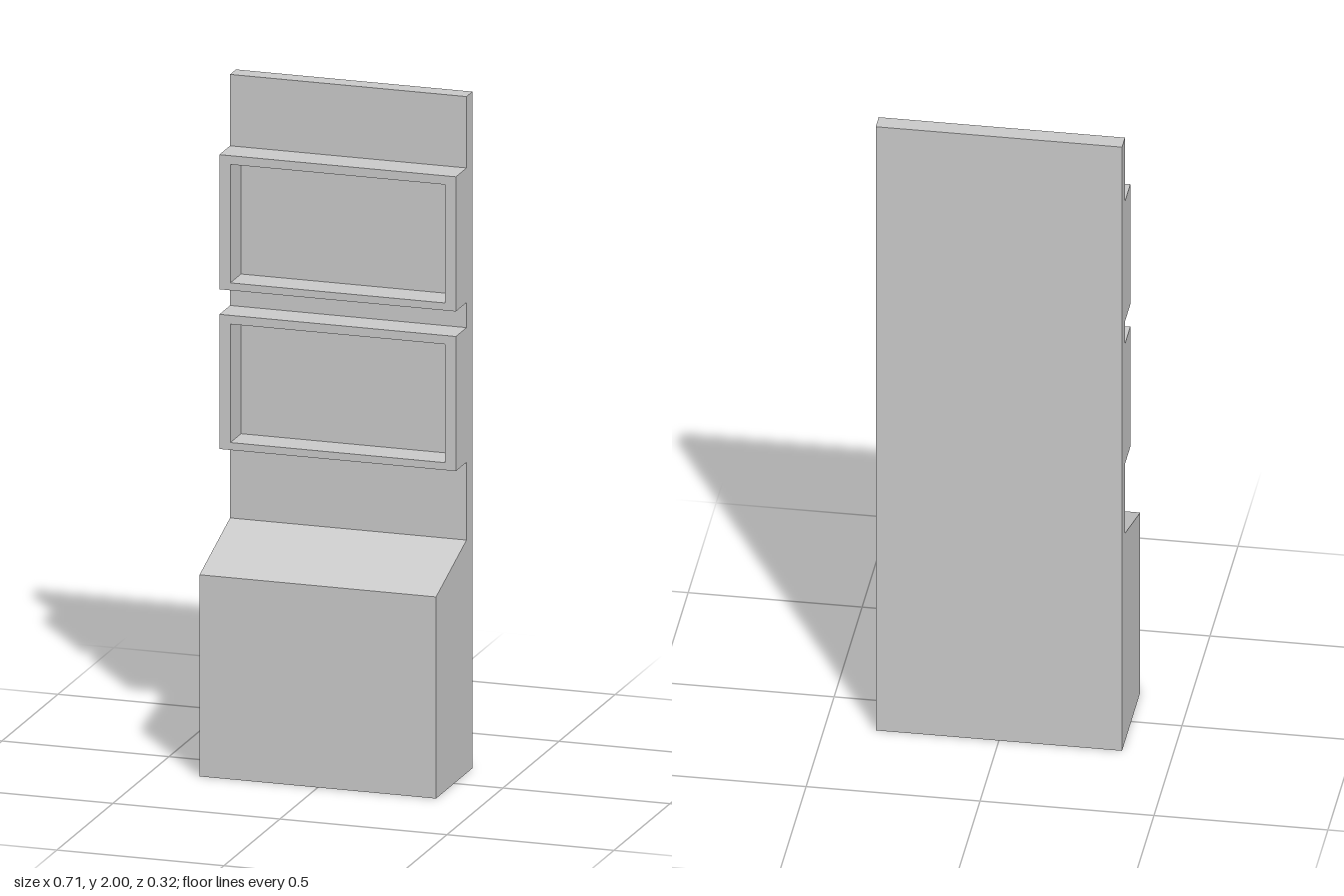
import * as THREE from 'three';

const WIDTH = 0.708;
const BACK = -0.163, PANEL = -0.11, FRAME = -0.015, FRONT = 0.162;

export function createModel() {
  const group = new THREE.Group();
  const material = new THREE.MeshStandardMaterial({ color: 0xcccccc, flatShading: true });
  const add = (name, geometry) => {
    const mesh = new THREE.Mesh(geometry, material);
    mesh.name = name;
    group.add(mesh);
  };

  // Base cabinet with sloped top and tall back panel: one side profile (z, y) swept across the width
  const profile = new THREE.Shape([
    [BACK, 0], [FRONT, 0], [FRONT, 0.596], [PANEL, 0.689], [PANEL, 2], [BACK, 2],
  ].map(([z, y]) => new THREE.Vector2(z, y)));
  const body = new THREE.ExtrudeGeometry(profile, { depth: WIDTH, bevelEnabled: false });
  body.rotateY(-Math.PI / 2).translate(WIDTH / 2, 0, 0);
  add('cabinetAndBackPanel', body);

  // Rectangle outline centred on x = 0
  const rectangle = (Type, halfWidth, bottom, top) => new Type([
    new THREE.Vector2(-halfWidth, bottom), new THREE.Vector2(halfWidth, bottom),
    new THREE.Vector2(halfWidth, top), new THREE.Vector2(-halfWidth, top),
  ]);

  // Two open display frames standing out from the panel
  for (const [name, bottom] of [['lowerFrame', 0.919], ['upperFrame', 1.391]]) {
    const outline = rectangle(THREE.Shape, WIDTH / 2, bottom, bottom + 0.398);
    outline.holes.push(rectangle(THREE.Path, 0.321, bottom + 0.022, bottom + 0.372));
    const frame = new THREE.ExtrudeGeometry(outline, { depth: FRAME - PANEL, bevelEnabled: false });
    frame.translate(0, 0, PANEL);
    add(name, frame);
  }
  return group;
}
